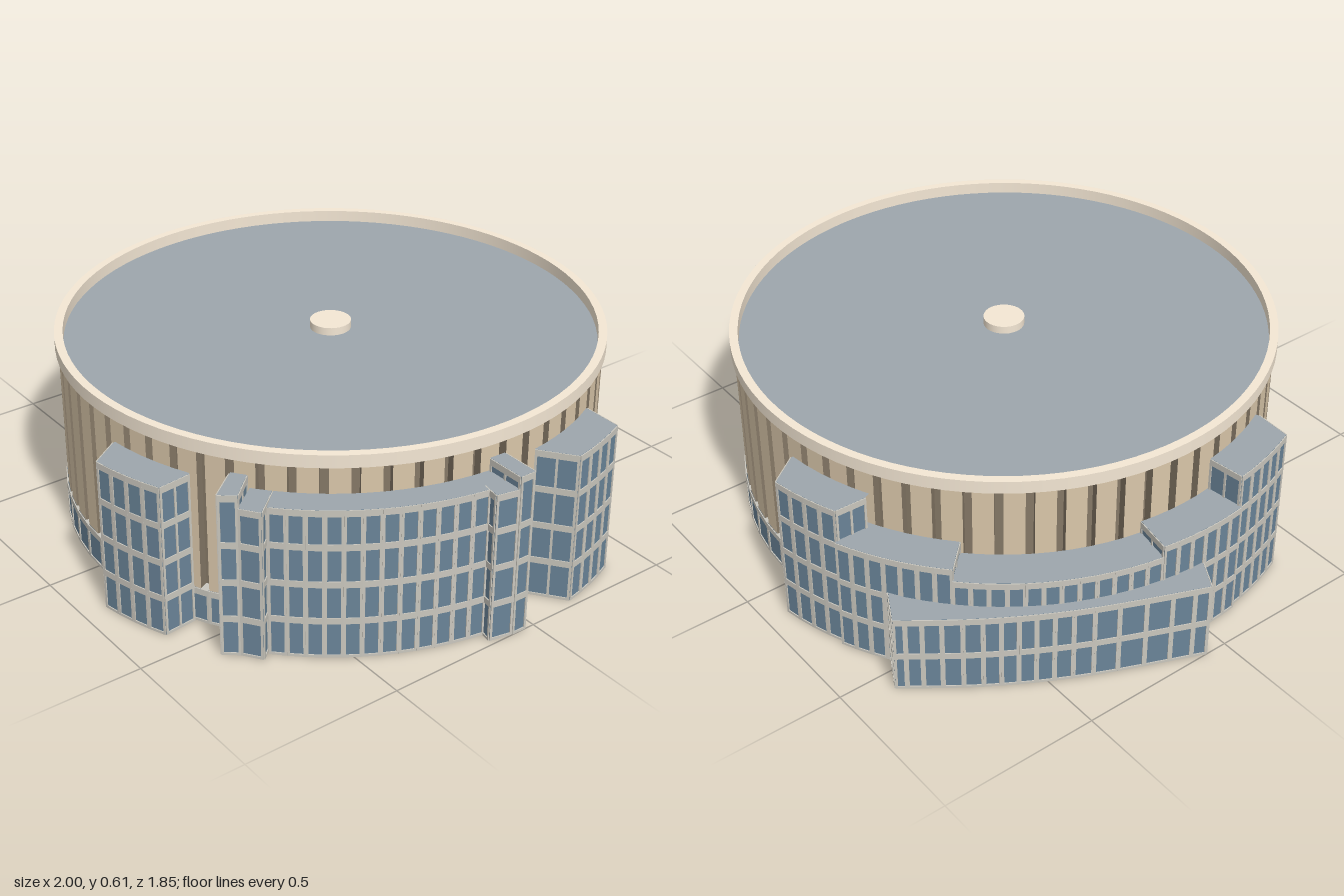
import * as THREE from 'three';
import { mergeGeometries } from 'three/addons/utils/BufferGeometryUtils.js';

const CX = 0.046; // the drum sits slightly off centre
const RAD = Math.PI / 180;
const mat = (color) => new THREE.MeshStandardMaterial({ color, side: THREE.DoubleSide });
const tan = mat(0xdac7aa);
const shade = mat(0x857866);
const cream = mat(0xf4e7d4);
const glass = mat(0x6a8498);
const lining = mat(0xc8c6bf);
const frame = mat(0xcac7be);
const roofing = mat(0x9da6ac);

const polar = (r, deg) => [CX + r * Math.cos(deg * RAD), r * Math.sin(deg * RAD)];
const angleOf = ([x, z]) => Math.atan2(z, x - CX) / RAD;

// Points on an arc about the drum axis
function arc(r, from, to, n = Math.max(2, Math.round(Math.abs(to - from) * RAD * r / 0.052))) {
  return Array.from({ length: n + 1 }, (_, i) => polar(r, from + (to - from) * i / n));
}

function add(group, name, geometry, material) {
  const mesh = new THREE.Mesh(geometry, material);
  mesh.name = name;
  group.add(mesh);
  return mesh;
}

// Upright quads over a list of [p, q] plan segments
function upright(segments, y0, y1) {
  const pos = [];
  for (const [[ax, az], [bx, bz]] of segments) {
    pos.push(ax, y0, az, bx, y0, bz, bx, y1, bz, ax, y0, az, bx, y1, bz, ax, y1, az);
  }
  const g = new THREE.BufferGeometry();
  g.setAttribute('position', new THREE.Float32BufferAttribute(pos, 3));
  g.computeVertexNormals();
  return g;
}

// Inner face of a wall segment, turned to look inwards
function innerFace([[ax, az], [bx, bz]]) {
  const k = 0.003 / Math.hypot(bx - ax, bz - az), ox = (bz - az) * k, oz = (ax - bx) * k;
  return [[bx + ox, bz + oz], [ax + ox, az + oz]];
}

// Glazed wall along a plan path, with floor bands and mullions on the outside
function glazedWall(group, path, h) {
  const segments = path.slice(1).map((q, i) => [path[i], q]);
  add(group, 'glazing', upright(segments, 0, h), glass);
  add(group, 'wallLining', upright(segments.map(innerFace), 0, h), lining);

  const bands = [[0.004, 0.008], [h - 0.01, 0.02]];
  for (let y = 0.122; y < h - 0.05; y += 0.12) bands.push([y, 0.02]);
  const bars = [];
  for (const [[ax, az], [bx, bz]] of segments) {
    const dx = bx - ax, dz = bz - az, len = Math.hypot(dx, dz), turn = -Math.atan2(dz, dx);
    const bar = (w, t, x, y, z) => bars.push(
      new THREE.BoxGeometry(w, t, 0.003).translate(0, 0, 0.002).rotateY(turn).translate(x, y, z));
    for (const [y, t] of bands) bar(len, t, (ax + bx) / 2, y, (az + bz) / 2);
    const n = Math.max(1, Math.round(len / 0.06));
    for (let i = 0; i <= n; i++) {
      // end posts are pulled in so they stay within their wall
      const s = THREE.MathUtils.clamp(i / n, 0.0035 / len, 1 - 0.0035 / len);
      bar(0.007, h - 0.002, ax + dx * s, h / 2, az + dz * s);
    }
  }
  add(group, 'windowFrames', mergeGeometries(bars), frame);
}

// Annex: glazed outer path, flat roof running back to an inner radius
function annex(parent, name, path, h, inner = 0.829) {
  const group = new THREE.Group();
  group.name = name;
  glazedWall(group, path, h);
  const start = angleOf(path[0]);
  const sweep = (start - angleOf(path[path.length - 1]) + 720) % 360;
  const outline = [...path, ...arc(inner, start - sweep, start)];
  const shape = new THREE.Shape(outline.map(([x, z]) => new THREE.Vector2(x, -z)));
  add(group, 'annexRoof', new THREE.ShapeGeometry(shape).rotateX(-Math.PI / 2).translate(0, h, 0), roofing);
  parent.add(group);
}

export function createModel() {
  const model = new THREE.Group();
  model.name = 'roundBuilding';

  // Drum wall: flat panels separated by dark recesses, each with its own sill
  const N = 60, pitch = 360 / N, solid = 0.7, offset = 1.6;
  const panels = [], recesses = [], sills = [];
  for (let i = 0; i < N; i++) {
    const a = offset - i * pitch, b = a - pitch * solid, c = a - pitch;
    const p = [polar(0.828, a), polar(0.828, b), polar(0.798, b), polar(0.798, c), polar(0.828, c)];
    panels.push([p[0], p[1]]);
    recesses.push([p[1], p[2]], [p[2], p[3]], [p[3], p[4]]);
    sills.push(new THREE.RingGeometry(0.798, 0.83, 1, 1, -b * RAD, pitch * (1 - solid) * RAD));
  }
  add(model, 'wallPanels', upright(panels, 0.112, 0.566), tan);
  add(model, 'wallRecesses', upright(recesses, 0.112, 0.566), shade);
  add(model, 'recessSills', mergeGeometries(sills).rotateX(-Math.PI / 2).translate(CX, 0.112, 0), lining);

  // Glazed ground floor
  const base = new THREE.Group();
  base.name = 'groundFloor';
  glazedWall(base, arc(0.83, offset, offset - 360, N), 0.112);
  model.add(base);

  // Parapet, roof and central cap
  const profile = [[0.79, 0.565], [0.838, 0.565], [0.838, 0.605], [0.812, 0.605], [0.812, 0.566]];
  const rings = profile.slice(1).map((q, i) =>
    new THREE.LatheGeometry([profile[i], q].map(([r, y]) => new THREE.Vector2(r, y)), 96));
  add(model, 'parapet', mergeGeometries(rings), cream).position.x = CX;
  add(model, 'mainRoof', new THREE.CircleGeometry(0.814, 96).rotateX(-Math.PI / 2), roofing)
    .position.set(CX, 0.568, 0);
  add(model, 'roofCap', new THREE.CylinderGeometry(0.063, 0.063, 0.025, 32), cream)
    .position.set(CX, 0.58, 0);

  // Front and right-hand annexes
  annex(model, 'frontAnnex', [[0.13, 0.83], ...arc(0.933, 81, 67), [0.4, 0.755]], 0.487);
  annex(model, 'cornerTower', [[0.51, 0.695], [0.58, 0.785], [0.615, 0.743], [0.545, 0.664]], 0.52);
  annex(model, 'cornerTowerStep', [[0.615, 0.743], [0.67, 0.705], [0.64, 0.67], [0.6, 0.62]], 0.48);
  annex(model, 'curvedWing', arc(0.912, 48, 9), 0.48);
  annex(model, 'sideTowerWing', [[0.925, 0.14], [0.98, 0.15], [0.995, 0.08]], 0.48);
  annex(model, 'sideTower', [[0.875, 0.08], [0.997, 0.08], [0.997, 0.03], [0.878, 0.03]], 0.52);
  annex(model, 'sideAnnex', [[0.872, -0.09], ...arc(0.943, -10.1, -23), [0.79, -0.37]], 0.487);

  // Stepped wing around the back
  annex(model, 'backAnnex', [[-0.04, -0.83], ...arc(0.937, -99.5, -112.8), [-0.32, -0.765]], 0.487);
  annex(model, 'backWing', [...arc(0.947, -112.8, -133.9), polar(0.83, -133.9)], 0.38);
  annex(model, 'backLowWing', arc(0.95, -133.9, -170.3), 0.34);
  annex(model, 'endWing', [polar(0.83, -170.3), ...arc(0.952, -170.3, -187.7)], 0.38);
  annex(model, 'endAnnex', [polar(0.83, -187.7), ...arc(0.944, -187.7, -202.5), [-0.71, 0.365]], 0.487);

  // Low outer block with a gently bowed face
  const bow = new THREE.SplineCurve([[-0.565, -0.855], [-0.72, -0.64], [-0.855, -0.4], [-0.997, -0.07]]
    .map(([x, z]) => new THREE.Vector2(x, z))).getPoints(16).map((v) => [v.x, v.y]);
  annex(model, 'lowOuterBlock', [[-0.465, -0.8], ...bow, [-0.907, -0.02]], 0.257, 0.952);

  return model;
}
